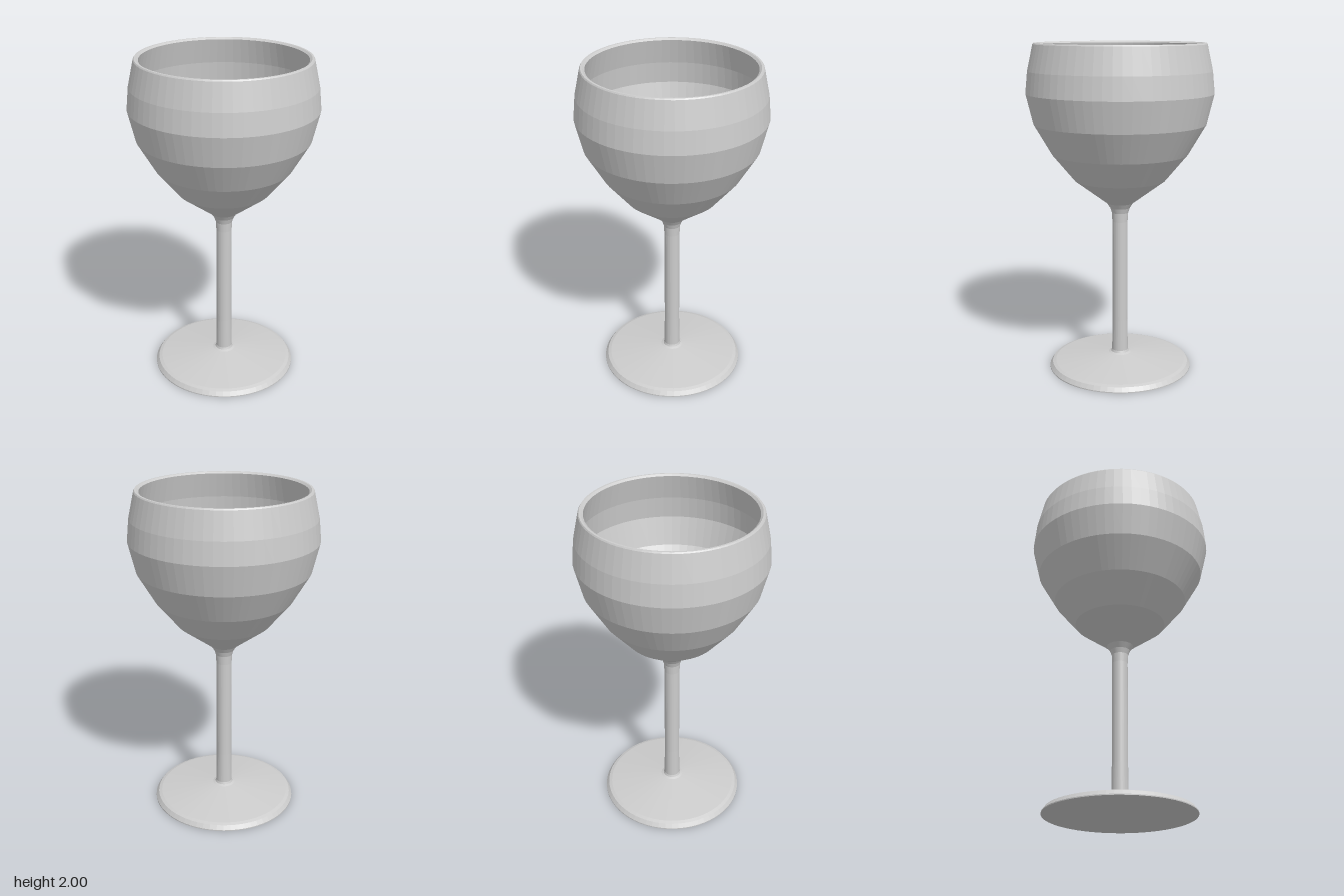
import * as THREE from 'three';

const glassGrey = new THREE.MeshStandardMaterial({ color: 0xcccccc });
glassGrey.name = 'glassGrey';

// Faceted surface of revolution from [radius, height] pairs
function turned(name, profile) {
  const points = profile.map(([r, y]) => new THREE.Vector2(r, y));
  const geometry = new THREE.LatheGeometry(points, 64).toNonIndexed();
  geometry.computeVertexNormals();
  const mesh = new THREE.Mesh(geometry, glassGrey);
  mesh.name = name;
  return mesh;
}

export function createModel() {
  const goblet = new THREE.Group();
  goblet.name = 'goblet';

  // Flat foot with a bevelled edge and a gently sloping top
  goblet.add(turned('foot', [
    [0, 0], [0.442, 0], [0.442, 0.006], [0.425, 0.03], [0.405, 0.037],
    [0.23, 0.06], [0.07, 0.081], [0.055, 0.087], [0.05, 0.1],
  ]));

  // Slender stem flaring into the bowl
  goblet.add(turned('stem', [
    [0.05, 0.1], [0.047, 0.3], [0.047, 0.93], [0.05, 0.985], [0.06, 1.015], [0.08, 1.045],
  ]));

  // Bowl: outside wall, rim, then inside wall down to the centre
  goblet.add(turned('bowl', [
    [0.08, 1.045], [0.275, 1.19], [0.408, 1.35], [0.513, 1.53], [0.556, 1.71],
    [0.543, 1.84], [0.509, 1.993], [0.504, 2],
    [0.493, 2], [0.48, 1.99], [0.515, 1.84], [0.528, 1.71], [0.486, 1.54],
    [0.382, 1.365], [0.255, 1.215], [0.137, 1.125], [0.06, 1.085], [0, 1.075],
  ]));

  return goblet;
}
